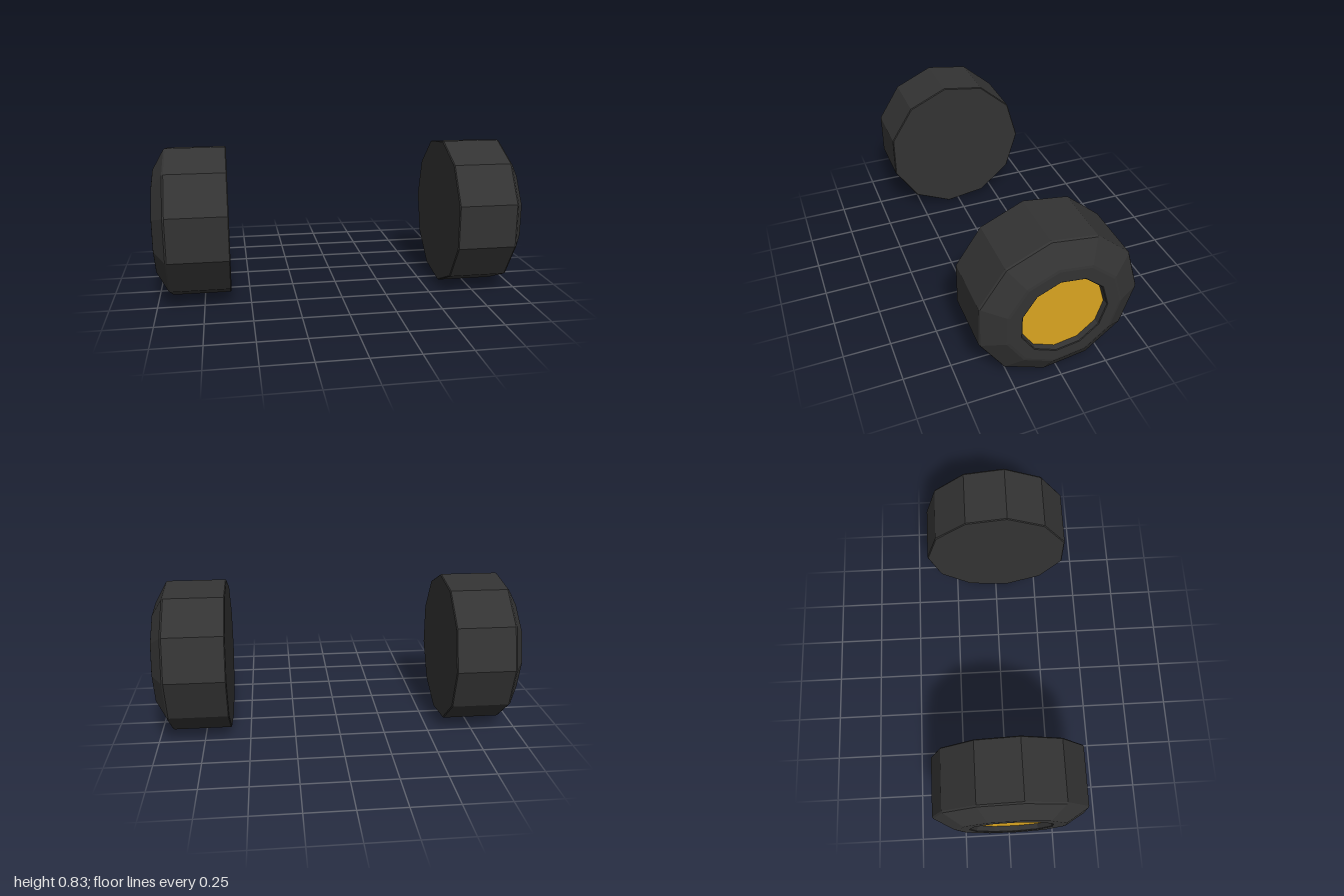
import * as THREE from 'three';

const SIDES = 11;
const CENTER_Y = 0.415;
const CENTER_Z = 0.0085; // the odd number of sides sits slightly off the bounding centre

// Tyre cross-section as [radius, distance from the middle], inner side to hub recess
const TYRE_PROFILE = [
  [0, 0.605], [0.414, 0.605], [0.4185, 0.61], // flat inner face
  [0.4185, 0.925], [0.413, 0.934],            // tread
  [0.302, 0.997], [0.288, 1],                 // sloped shoulder
  [0.226, 1], [0.222, 0.997], [0.216, 0.965], // sidewall and recess lip
];

function createWheel(side, tyreMaterial, hubMaterial) {
  const wheel = new THREE.Group();
  wheel.name = side > 0 ? 'leftWheel' : 'rightWheel';

  const points = TYRE_PROFILE.map(([r, d]) => new THREE.Vector2(r, d));
  const tyre = new THREE.Mesh(new THREE.LatheGeometry(points, SIDES, Math.PI), tyreMaterial);
  tyre.name = 'tyre';

  // Hub disc set a little below the sidewall
  const hubGeometry = new THREE.CylinderGeometry(0.217, 0.217, 0.03, SIDES, 1, false, Math.PI);
  const hub = new THREE.Mesh(hubGeometry, hubMaterial);
  hub.name = 'hubDisc';
  hub.position.y = 0.955;

  wheel.add(tyre, hub);
  // Turn the axle from y to the outward x direction
  wheel.rotation.z = -side * Math.PI / 2;
  wheel.position.set(0, CENTER_Y, CENTER_Z);
  return wheel;
}

export function createModel() {
  const model = new THREE.Group();
  model.name = 'wheelPair';
  const tyreMaterial = new THREE.MeshStandardMaterial({ color: 0x333333, flatShading: true });
  const hubMaterial = new THREE.MeshStandardMaterial({ color: 0xdaa520, flatShading: true });
  for (const side of [1, -1]) model.add(createWheel(side, tyreMaterial, hubMaterial));
  return model;
}
